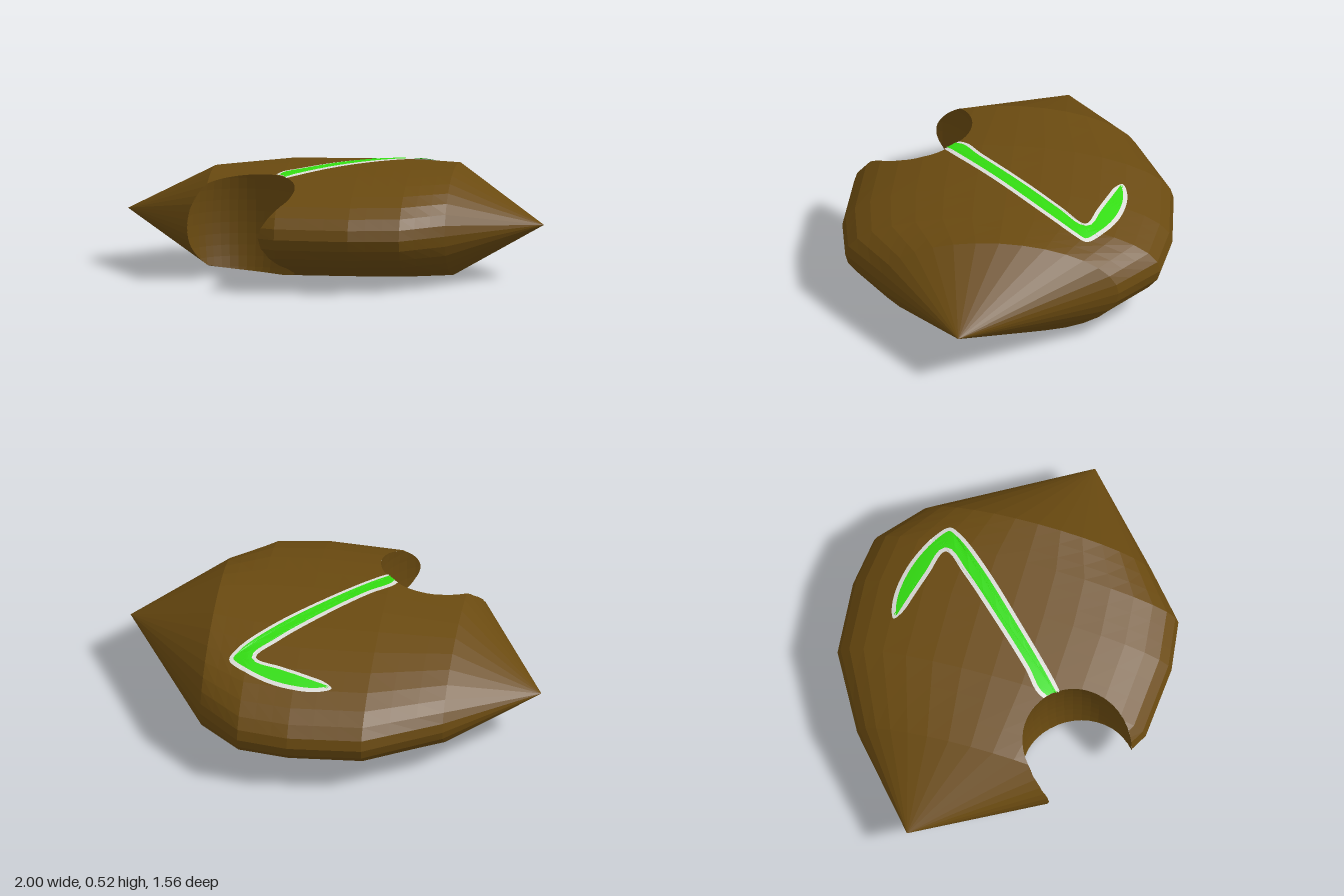
import * as THREE from 'three';

const MID = 0.255; // height of the horizontal symmetry plane

// Elliptical cross-sections along x: [x, centre z, half width, half height]
const RINGS = [
  [-1, -0.19, 0, 0], [-0.58, 0, 0.555, 0.225], [-0.22, 0, 0.755, 0.255], [0.13, 0, 0.78, 0.255],
  [0.37, 0, 0.745, 0.255], [0.57, 0, 0.565, 0.255], [1, 0.155, 0, 0],
];
// Barrel-shaped bite
const BITE = { x: -0.4, z: 0.46, r: 0.27, h: 0.55 };

function sectionAt(x) {
  for (let i = 0; i < RINGS.length - 1; i++) {
    const a = RINGS[i], b = RINGS[i + 1];
    if (x >= a[0] && x <= b[0]) {
      const t = (x - a[0]) / (b[0] - a[0]);
      return a.map((v, k) => v + (b[k] - v) * t);
    }
  }
  return null;
}

// Positive inside the stone
function insideStone(p) {
  const s = sectionAt(p.x);
  if (!s || s[2] < 1e-6) return -1;
  return 1 - ((p.z - s[1]) / s[2]) ** 2 - ((p.y - MID) / s[3]) ** 2;
}

// Positive outside the bite
function outsideBite(p) {
  return ((p.x - BITE.x) / BITE.r) ** 2 + ((p.z - BITE.z) / BITE.r) ** 2 + ((p.y - MID) / BITE.h) ** 2 - 1;
}

function topOf(x, z) {
  const s = sectionAt(x);
  return MID + s[3] * Math.sqrt(Math.max(0, 1 - ((z - s[1]) / s[2]) ** 2));
}

// Splits every triangle into four, a number of times
function split(tris, times) {
  for (let n = 0; n < times; n++) {
    tris = tris.flatMap(([a, b, c]) => {
      const ab = a.clone().lerp(b, 0.5), bc = b.clone().lerp(c, 0.5), ca = c.clone().lerp(a, 0.5);
      return [[a, ab, ca], [ab, b, bc], [ca, bc, c], [ab, bc, ca]];
    });
  }
  return tris;
}

// Keeps the part of each triangle where f is positive
function clip(tris, f) {
  const out = [];
  for (const tri of tris) {
    const v = tri.map(f), poly = [];
    for (let i = 0; i < 3; i++) {
      const j = (i + 1) % 3;
      if (v[i] >= 0) poly.push(tri[i]);
      if ((v[i] >= 0) !== (v[j] >= 0)) poly.push(tri[i].clone().lerp(tri[j], v[i] / (v[i] - v[j])));
    }
    for (let i = 1; i < poly.length - 1; i++) out.push([poly[0], poly[i], poly[i + 1]]);
  }
  return out;
}

function trianglesOf(geometry) {
  const p = geometry.toNonIndexed().attributes.position, tris = [];
  const at = (i) => new THREE.Vector3().fromBufferAttribute(p, i);
  for (let i = 0; i < p.count; i += 3) tris.push([at(i), at(i + 1), at(i + 2)]);
  return tris;
}

function meshOf(name, tris, material) {
  const solid = tris.filter(([a, b, c]) => new THREE.Triangle(a, b, c).getArea() > 1e-9);
  const geometry = new THREE.BufferGeometry().setFromPoints(solid.flat());
  geometry.computeVertexNormals();
  const mesh = new THREE.Mesh(geometry, material);
  mesh.name = name;
  return mesh;
}

// Loft through the rings, 32 sides
function stoneTriangles() {
  const SIDES = 32, STEPS = 3, stations = [], tris = [];
  for (let i = 0; i < RINGS.length - 1; i++) {
    for (let k = 0; k < STEPS; k++) {
      stations.push(RINGS[i].map((v, n) => v + (RINGS[i + 1][n] - v) * k / STEPS));
    }
  }
  stations.push(RINGS[RINGS.length - 1]);
  const point = (s, j) => {
    const a = j / SIDES * Math.PI * 2;
    return new THREE.Vector3(s[0], MID + s[3] * Math.cos(a), s[1] + s[2] * Math.sin(a));
  };
  for (let i = 0; i < stations.length - 1; i++) {
    for (let j = 0; j < SIDES; j++) {
      const a = point(stations[i], j), b = point(stations[i], j + 1);
      const c = point(stations[i + 1], j + 1), d = point(stations[i + 1], j);
      tris.push([a, b, c], [a, c, d]);
    }
  }
  return tris;
}

// Flat outline (x, -z) laid over the top of the stone
function drape(points, lift) {
  const flat = split(trianglesOf(new THREE.ShapeGeometry(new THREE.Shape(points))), 3);
  const laid = flat.map((t) => t.map((p) => new THREE.Vector3(p.x, topOf(p.x, -p.y) + lift, -p.y)));
  return clip(laid, outsideBite);
}

export function createModel() {
  const group = new THREE.Group();
  const brown = new THREE.MeshStandardMaterial({ color: 0x6a4a10 });
  const green = new THREE.MeshStandardMaterial({ color: 0x33dd11, side: THREE.DoubleSide });
  const grey = new THREE.MeshStandardMaterial({ color: 0xdcdcd8, side: THREE.DoubleSide });
  brown.name = 'stone brown';
  green.name = 'stripe green';
  grey.name = 'border grey';

  // Stone body with the bite removed
  group.add(meshOf('stoneBody', clip(split(stoneTriangles(), 2), outsideBite), brown));

  // Hollow inner wall of the bite, facing inwards
  const barrel = new THREE.SphereGeometry(1, 40, 32);
  barrel.scale(BITE.r, BITE.h, BITE.r).translate(BITE.x, MID, BITE.z);
  const wall = split(trianglesOf(barrel), 2).map(([a, b, c]) => [a, c, b]);
  group.add(meshOf('biteWall', clip(wall, insideStone), brown));

  // Bent stripe outline as (x, z)
  const outline = [
    [-0.05, -0.53], [0, -0.553], [0.1, -0.56], [0.25, -0.53], [0.4, -0.455], [0.455, -0.4], [0.43, -0.34],
    [0.3, -0.18], [0.06, 0.07], [-0.2, 0.33], [-0.27, 0.38], [-0.245, 0.24], [-0.14, 0.14], [0.085, -0.1],
    [0.24, -0.27], [0.33, -0.385], [0.2, -0.43], [0.08, -0.467], [-0.01, -0.497],
  ].map(([x, z]) => new THREE.Vector3(x, -z, 0));
  const curve = new THREE.CatmullRomCurve3(outline, true, 'centripetal');
  let edge = curve.getPoints(95).slice(0, -1).map((p) => new THREE.Vector2(p.x, p.y));
  if (THREE.ShapeUtils.area(edge) < 0) edge = edge.reverse();
  const inset = edge.map((p, i) => {
    const t = edge[(i + 1) % edge.length].clone().sub(edge[(i + edge.length - 1) % edge.length]).normalize();
    return new THREE.Vector2(p.x - t.y * 0.02, p.y + t.x * 0.02);
  });
  group.add(meshOf('stripeBorder', drape(edge, 0.003), grey));
  group.add(meshOf('stripe', drape(inset, 0.006), green));
  return group;
}
